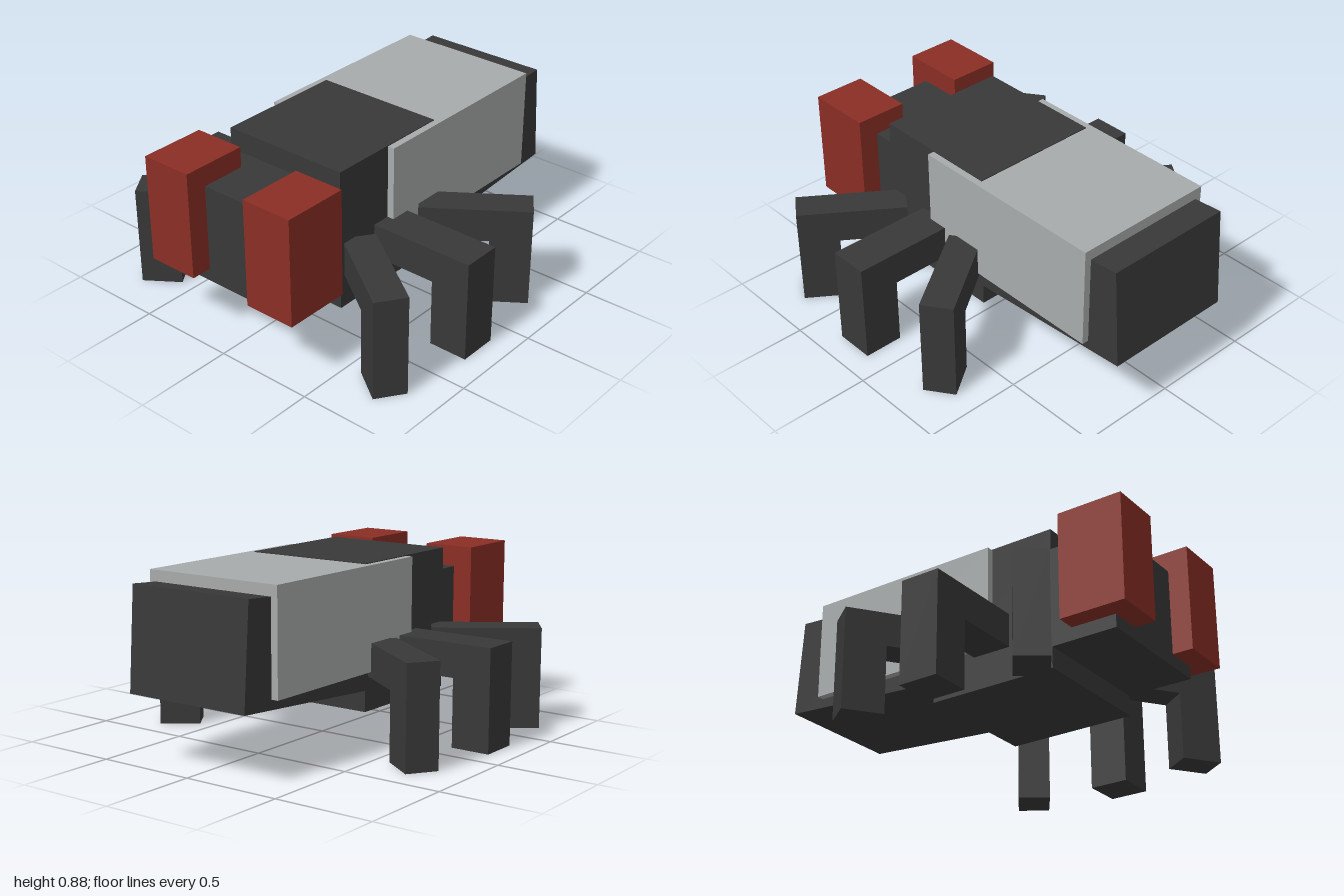
import * as THREE from 'three';

const mat = (name, color) => {
  const m = new THREE.MeshStandardMaterial({ color });
  m.name = name;
  return m;
};

export function createModel() {
  const shell = mat('charcoal', 0x383838);
  const eyeRed = mat('darkRed', 0x8a2e24);
  const wingGrey = mat('paleGrey', 0xa8abab);
  const model = new THREE.Group();
  model.name = 'blockyFly';

  // Box given by its min and max corners
  const box = (name, material, [x0, y0, z0], [x1, y1, z1]) => {
    const mesh = new THREE.Mesh(new THREE.BoxGeometry(x1 - x0, y1 - y0, z1 - z0), material);
    mesh.position.set((x0 + x1) / 2, (y0 + y1) / 2, (z0 + z1) / 2);
    mesh.name = name;
    model.add(mesh);
    return mesh;
  };

  // Body: head, thorax (a hair above the wings) and folded wings
  box('head', shell, [-0.335, 0.275, 0.5], [0.335, 0.775, 0.895]);
  box('thorax', shell, [-0.335, 0.17, -0.11], [0.335, 0.882, 0.56]);
  box('wings', wingGrey, [-0.37, 0.37, -0.815], [0.37, 0.878, 0.228]);

  // Abdomen, tipped up slightly toward the back
  const abdomen = box('abdomen', shell, [-0.335, -0.25, 0], [0.335, 0.25, 0.97]);
  abdomen.geometry.translate(0, 0, 0.485);
  abdomen.position.set(0, 0.585, -0.982);
  abdomen.rotation.x = THREE.MathUtils.degToRad(4);

  // Eyes
  box('leftEye', eyeRed, [0.17, 0.34, 0.665], [0.435, 0.878, 1]);
  box('rightEye', eyeRed, [-0.435, 0.34, 0.665], [-0.17, 0.878, 1]);

  // Legs: an L profile extruded sideways, reaching out along +x
  const profile = new THREE.Shape([
    [0, 0.34], [0.34, 0.34], [0.34, 0], [0.54, 0], [0.54, 0.508], [0, 0.508],
  ].map(([x, y]) => new THREE.Vector2(x, y)));
  const legGeometry = (width) => new THREE.ExtrudeGeometry(profile, { depth: width, bevelEnabled: false })
    .translate(0, 0, -width / 2);
  const tilt = THREE.MathUtils.degToRad(35);
  const legs = [
    ['front', 0.345, 0.445, -tilt, 0.16],
    ['middle', 0.335, 0.224, 0, 0.2],
    ['back', 0.345, 0.003, tilt, 0.16],
  ];
  for (const [name, x, z, angle, width] of legs) {
    for (const side of [1, -1]) {
      const leg = new THREE.Mesh(legGeometry(width), shell);
      leg.position.set(side * x, 0, z);
      leg.rotation.y = side > 0 ? angle : Math.PI - angle;
      leg.name = `${name}${side > 0 ? 'Left' : 'Right'}Leg`;
      model.add(leg);
    }
  }
  return model;
}
